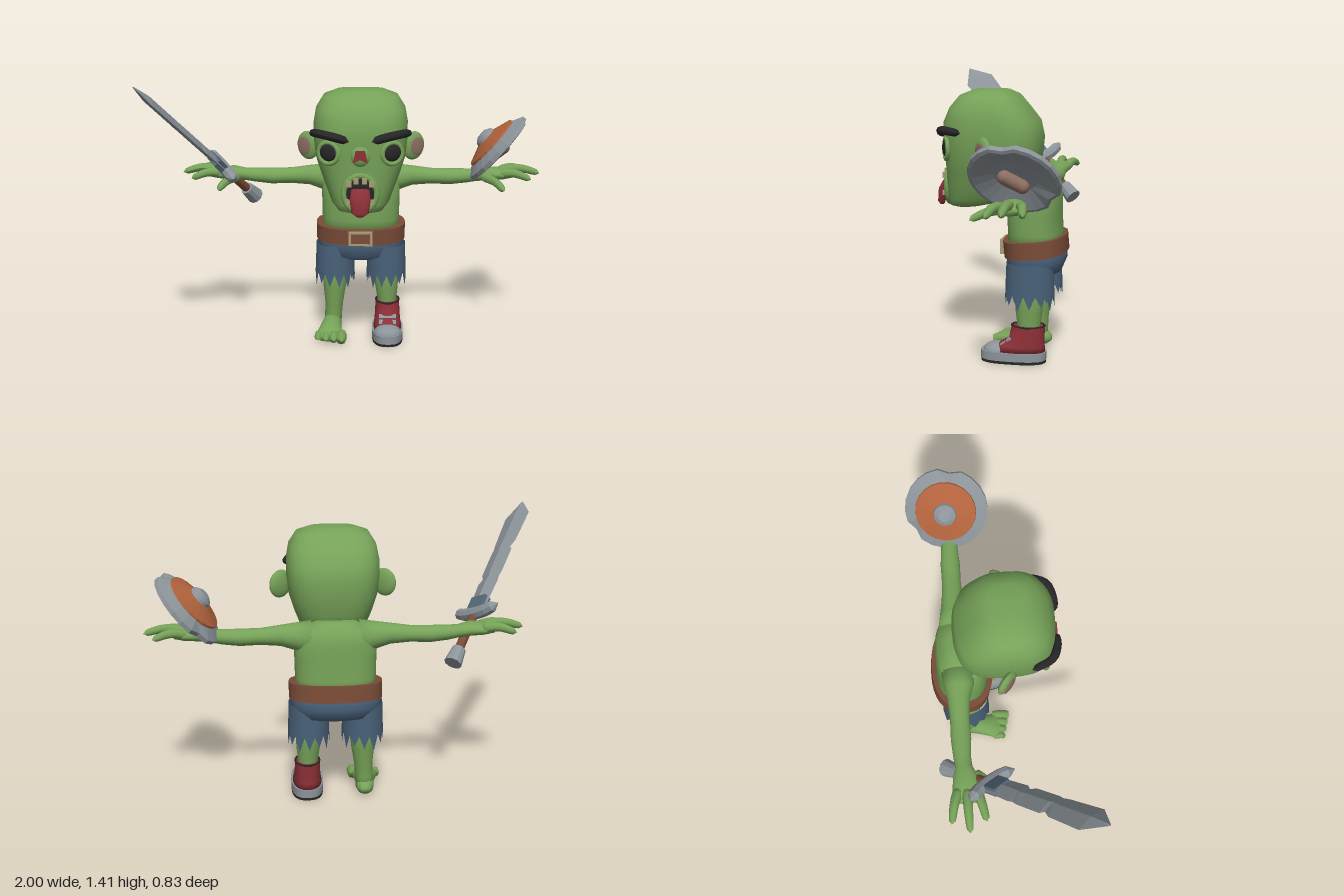
import * as THREE from 'three';

const mat = (name, color, side = THREE.FrontSide) => {
  const m = new THREE.MeshStandardMaterial({ color, side });
  m.name = name;
  return m;
};
const skin = mat('skin green', 0x76a258), denim = mat('denim blue', 0x486078, THREE.DoubleSide);
const leather = mat('leather brown', 0x7a4b37), red = mat('red', 0x8c3036), steel = mat('steel grey', 0x8c949a);
const orange = mat('shield orange', 0xb0623c), black = mat('black', 0x262628), bone = mat('bone tan', 0xa89c76);
const flesh = mat('dull pink', 0x8d6f62), darkSteel = mat('dark steel', 0x56697a);

const V = (x, y, z) => new THREE.Vector3(x, y, z);

function add(parent, name, geo, material, pos) {
  const m = new THREE.Mesh(geo, material);
  m.name = name;
  if (pos) m.position.set(...pos);
  parent.add(m);
  return m;
}

// Closed skin over superellipse rings; row = [t, centreU, centreV, radiusU, radiusV].
// A repeated row makes a sharp edge. (u, t, v) is (x,y,z), (z,x,y) or (y,z,x).
function loft(axis, rows, n = 28, p = 2) {
  const pos = [], idx = [];
  const put = (u, t, v) => pos.push(...(axis === 'y' ? [u, t, v] : axis === 'x' ? [t, v, u] : [v, u, t]));
  const pw = c => Math.sign(c) * Math.pow(Math.abs(c), 2 / p);
  for (const [t, cu, cv, ru, rv] of rows)
    for (let i = 0; i < n; i++) {
      const a = (i / n) * Math.PI * 2;
      put(cu + ru * pw(Math.cos(a)), t, cv + rv * pw(Math.sin(a)));
    }
  for (let j = 0; j < rows.length - 1; j++)
    for (let i = 0; i < n; i++) {
      const a = j * n + i, c = j * n + (i + 1) % n;
      idx.push(a, a + n, c, c, a + n, c + n);
    }
  const last = rows.length - 1, base = rows.length * n;
  for (const r of [rows[0], rows[last]]) put(r[1], r[0], r[2]);
  for (let i = 0; i < n; i++) {
    const k = (i + 1) % n;
    idx.push(base, i, k, base + 1, last * n + k, last * n + i);
  }
  const g = new THREE.BufferGeometry();
  g.setAttribute('position', new THREE.Float32BufferAttribute(pos, 3));
  g.setIndex(idx);
  g.computeVertexNormals();
  return g;
}

// Round-ended tapering tube along a curve
function taper(points, r0, r1, n = 12) {
  const curve = new THREE.CatmullRomCurve3(points.map(p => V(...p)));
  const g = new THREE.TubeGeometry(curve, n, 1, 8), pos = g.attributes.position, q = V();
  for (let i = 0; i <= n; i++) {
    const t = i / n, c = curve.getPointAt(t);
    const r = (r0 + (r1 - r0) * t) * Math.max(0.02, Math.sqrt(1 - Math.pow(2 * t - 1, 8)));
    for (let j = 0; j <= 8; j++) {
      const k = i * 9 + j;
      q.fromBufferAttribute(pos, k).sub(c).multiplyScalar(r).add(c);
      pos.setXYZ(k, q.x, q.y, q.z);
    }
  }
  return g;
}

function mirrored(geo) {
  const g = geo.clone().scale(-1, 1, 1), ix = g.index.array;
  for (let i = 0; i < ix.length; i += 3) [ix[i], ix[i + 1]] = [ix[i + 1], ix[i]];
  g.computeVertexNormals();
  return g;
}
function pair(parent, name, geo, material) {
  add(parent, name + 'Left', geo, material);
  add(parent, name + 'Right', mirrored(geo), material);
}
const ball = (sx, sy, sz) => new THREE.SphereGeometry(1, 20, 14).scale(sx, sy, sz);
const faceted = geo => {
  const g = geo.index ? geo.toNonIndexed() : geo;
  g.computeVertexNormals();
  return g;
};
// Sets a group so its y axis follows up and its x axis leans to side
function orient(group, pos, up, side) {
  const y = up.clone().normalize(), x = side.clone().addScaledVector(y, -side.dot(y)).normalize();
  group.quaternion.setFromRotationMatrix(new THREE.Matrix4().makeBasis(x, y, x.clone().cross(y)));
  group.position.copy(pos);
}

function buildHead() {
  const h = new THREE.Group();
  h.name = 'head';
  add(h, 'skull', loft('y', [
    [0.763, 0, 0.19, 0.06, 0.04], [0.775, 0, 0.175, 0.11, 0.085], [0.81, 0, 0.1, 0.145, 0.17],
    [0.87, 0, 0.06, 0.17, 0.215], [0.95, 0, 0.045, 0.2, 0.23], [1.03, 0, 0.04, 0.225, 0.24],
    [1.12, 0, 0.038, 0.235, 0.247], [1.2, 0, 0.047, 0.235, 0.238], [1.27, 0, 0.06, 0.222, 0.195],
    [1.33, 0, 0.06, 0.185, 0.145], [1.355, 0, 0.055, 0.12, 0.09], [1.36, 0, 0.055, 0.04, 0.03]], 36, 2.9), skin);
  // Ears sweep outwards and back
  pair(h, 'ear', ball(0.07, 0.072, 0.025).rotateY(0.7).translate(0.265, 1.07, 0.04), skin);
  pair(h, 'innerEar', ball(0.044, 0.046, 0.006).translate(0.008, 0, 0.022).rotateY(0.7).translate(0.265, 1.07, 0.04), flesh);
  // Eyes, lids and brows
  pair(h, 'eye', ball(0.046, 0.046, 0.022).rotateY(0.4).translate(0.155, 1.075, 0.25), black);
  pair(h, 'eyelid', new THREE.TorusGeometry(0.052, 0.012, 8, 22).rotateY(0.4).translate(0.155, 1.07, 0.252), skin);
  pair(h, 'brow', taper([[0.055, 1.132, 0.288], [0.12, 1.152, 0.288], [0.195, 1.165, 0.26], [0.243, 1.155, 0.16]], 0.022, 0.02), black);
  // Nose with an open cavity
  add(h, 'nose', ball(0.05, 0.055, 0.028), skin, [0, 1.06, 0.27]);
  const cavity = new THREE.Shape([[-0.036, -0.03], [0, -0.015], [0.036, -0.03], [0.022, 0.03], [-0.022, 0.03]].map(p => new THREE.Vector2(...p)));
  add(h, 'noseCavity', new THREE.ExtrudeGeometry(cavity, { depth: 0.008, bevelEnabled: false }), red, [0, 1.06, 0.293]);
  // Mouth, lips, teeth, tongue
  add(h, 'mouth', ball(0.075, 0.085, 0.01), black, [0, 0.873, 0.274]);
  add(h, 'lips', new THREE.TorusGeometry(0.08, 0.015, 8, 28).scale(1, 1.12, 1), skin, [0, 0.873, 0.27]);
  for (const [x, y, r] of [[-0.055, 0.925, 0], [-0.02, 0.94, 0], [0.02, 0.94, 0], [0.055, 0.925, 0], [-0.058, 0.835, 1], [0.058, 0.835, 1]])
    add(h, 'tooth', new THREE.BoxGeometry(0.024, r ? 0.024 : 0.03, 0.022), bone, [x, y, 0.284]);
  add(h, 'tongue', loft('y', [[0.766, 0, 0.315, 0.015, 0.01], [0.785, 0, 0.317, 0.042, 0.018], [0.85, 0, 0.308, 0.051, 0.022],
    [0.89, 0, 0.288, 0.046, 0.02], [0.9, 0, 0.268, 0.04, 0.02]], 16), red);
  return h;
}

function buildBody() {
  const b = new THREE.Group();
  b.name = 'body';
  add(b, 'torso', loft('y', [[0.57, 0, -0.18, 0.2, 0.14], [0.65, 0, -0.175, 0.203, 0.135], [0.75, 0, -0.17, 0.205, 0.135],
    [0.83, 0, -0.175, 0.205, 0.13], [0.89, 0, -0.18, 0.18, 0.11], [0.93, 0, -0.18, 0.09, 0.06]], 32, 2.5), skin);
  // Arms with splayed fingers
  pair(b, 'arm', loft('x', [[0.12, -0.19, 0.85, 0.09, 0.085], [0.2, -0.195, 0.858, 0.072, 0.068], [0.27, -0.2, 0.866, 0.055, 0.052],
    [0.37, -0.2, 0.863, 0.048, 0.041], [0.47, -0.2, 0.86, 0.05, 0.042], [0.56, -0.2, 0.865, 0.043, 0.037], [0.61, -0.195, 0.87, 0.042, 0.033],
    [0.67, -0.188, 0.88, 0.062, 0.036], [0.74, -0.185, 0.88, 0.072, 0.03], [0.79, -0.185, 0.878, 0.05, 0.02]], 20), skin);
  const fingers = [[[0.72, 0.885, -0.225], [0.8, 0.9, -0.25], [0.89, 0.875, -0.268]], [[0.72, 0.89, -0.185], [0.83, 0.908, -0.185], [0.94, 0.882, -0.182]],
    [[0.72, 0.885, -0.145], [0.8, 0.893, -0.12], [0.885, 0.865, -0.1]], [[0.64, 0.87, -0.15], [0.7, 0.855, -0.07], [0.735, 0.825, 0]]];
  for (const f of fingers) pair(b, 'finger', taper(f, 0.027, 0.017), skin);

  // Belt, higher at the back
  const low = [-0.042, 0, 0, 0.235, 0.16], high = [0.042, 0, 0, 0.235, 0.16];
  add(b, 'belt', loft('y', [low, low, high, high], 32, 2.4).rotateX(0.09), leather, [0, 0.58, -0.178]);
  add(b, 'buckle', new THREE.BoxGeometry(0.125, 0.075, 0.022), bone, [0, 0.566, -0.012]);
  add(b, 'bucklePlate', new THREE.BoxGeometry(0.1, 0.052, 0.024), leather, [0, 0.566, -0.011]);

  // Shorts with torn hems
  add(b, 'shortsSeat', loft('y', [[0.43, 0, -0.17, 0.1, 0.09], [0.45, 0, -0.178, 0.2, 0.13], [0.51, 0, -0.183, 0.225, 0.15], [0.58, 0, -0.18, 0.218, 0.143]], 32, 2.4), denim);
  const hem = new THREE.CylinderGeometry(0.1, 0.106, 0.18, 26, 3, true), hp = hem.attributes.position;
  for (let i = 0; i < hp.count; i++) {
    const k = i % 27;
    if (hp.getY(i) < -0.08) hp.setY(i, -0.09 + (k % 2 ? -0.03 - 0.012 * (k % 3) : 0.025));
  }
  hem.scale(1, 1, 1.18).translate(0.137, 0.42, -0.168);
  hem.computeVertexNormals();
  pair(b, 'shortsLeg', hem, denim);

  // Legs and the bare foot
  pair(b, 'leg', loft('y', [[0.03, 0.15, -0.165, 0.045, 0.05], [0.1, 0.147, -0.165, 0.046, 0.052], [0.17, 0.143, -0.165, 0.048, 0.056],
    [0.26, 0.14, -0.165, 0.06, 0.068], [0.43, 0.135, -0.17, 0.075, 0.085]], 20), skin);
  add(b, 'bareFoot', loft('z', [[-0.235, 0.04, -0.15, 0.015, 0.02], [-0.21, 0.045, -0.15, 0.038, 0.042], [-0.14, 0.06, -0.153, 0.056, 0.048],
    [-0.06, 0.047, -0.16, 0.042, 0.06], [0, 0.035, -0.163, 0.031, 0.076], [0.03, 0.03, -0.163, 0.018, 0.065]], 20), skin);
  for (let i = 0; i < 4; i++) {
    const x = -0.1 - i * 0.041, r = 0.027 - i * 0.003;
    add(b, 'toe', taper([[x, 0.036, -0.03], [x, 0.04, 0.02], [x, r, 0.072 - i * 0.014]], r, r), skin);
  }
  // High-top shoe
  const shoe = new THREE.Group();
  shoe.name = 'shoe';
  shoe.position.x = 0.145;
  b.add(shoe);
  const slab = (y0, y1, s) => { const r = y => [y, 0, -0.088, 0.083 * s, 0.167 * s]; return loft('y', [r(y0), r(y0), r(y1), r(y1)], 28, 2.6); };
  add(shoe, 'outsole', slab(0, 0.014, 0.99), black);
  add(shoe, 'sole', slab(0.014, 0.056, 1), steel);
  add(shoe, 'upper', loft('y', [[0.05, 0, -0.105, 0.076, 0.145], [0.085, 0, -0.125, 0.07, 0.122], [0.12, 0, -0.155, 0.066, 0.09],
    [0.185, 0, -0.163, 0.064, 0.085], [0.185, 0, -0.163, 0.064, 0.085], [0.187, 0, -0.163, 0.05, 0.07]], 24, 2.3), red);
  add(shoe, 'collar', new THREE.TorusGeometry(0.062, 0.005, 6, 24).rotateX(Math.PI / 2).scale(1, 1, 1.33), black, [0, 0.187, -0.163]);
  add(shoe, 'toeCap', ball(0.073, 0.042, 0.07), steel, [0, 0.052, -0.003]);
  for (let i = 0; i < 2; i++)
    add(shoe, 'lace', new THREE.BoxGeometry(0.09, 0.014, 0.028), steel, [0, 0.094 + i * 0.022, -0.04 - i * 0.03]).rotation.x = 0.6;
  return b;
}

function buildSword() {
  const s = new THREE.Group();
  s.name = 'sword';
  orient(s, V(-0.66, 0.93, -0.08), V(-0.444, 0.627, 0.64), V(0.588, -0.415, 0.692));
  // Chipped blade with a diamond section
  add(s, 'blade', faceted(loft('y', [[0.02, 0, 0, 0.06, 0.018], [0.2, 0, 0, 0.07, 0.018], [0.23, -0.006, 0, 0.058, 0.018], [0.26, 0, 0, 0.071, 0.018],
    [0.41, 0, 0, 0.072, 0.018], [0.43, 0.007, 0, 0.06, 0.018], [0.47, 0, 0, 0.074, 0.018], [0.665, 0, 0, 0.085, 0.018], [0.768, 0.005, 0, 0.004, 0.003]], 4)), steel);
  add(s, 'bladeCollar', new THREE.BoxGeometry(0.1, 0.09, 0.042), darkSteel, [0, 0.05, 0]);
  add(s, 'guard', faceted(taper([[-0.15, 0.03, 0], [-0.07, 0, 0], [0.07, 0, 0], [0.15, 0.03, 0]], 0.032, 0.032, 8)), steel);
  add(s, 'grip', new THREE.CylinderGeometry(0.023, 0.023, 0.26, 10), leather, [0, -0.13, 0]);
  add(s, 'pommel', faceted(new THREE.CylinderGeometry(0.034, 0.045, 0.09, 10)), steel, [0, -0.275, 0]);
  return s;
}

function buildShield() {
  const s = new THREE.Group();
  s.name = 'shield';
  orient(s, V(0.775, 1.01, -0.2), V(-0.75, 0.65, -0.1), V(0.65, 0.76, 0));
  const disc = pts => new THREE.LatheGeometry(pts.map(p => new THREE.Vector2(...p)), 22);
  const rim = disc([[0, 0.03], [0.1, 0.018], [0.195, -0.015], [0.212, -0.01], [0.213, 0.012], [0.15, 0.045], [0, 0.05]]);
  // Nicks in the rim
  const p = rim.attributes.position;
  for (let i = 0; i < p.count; i++) {
    const seg = Math.floor(i / 7);
    if ((seg === 5 || seg === 13) && Math.hypot(p.getX(i), p.getZ(i)) > 0.19) p.setXYZ(i, p.getX(i) * 0.9, p.getY(i), p.getZ(i) * 0.9);
  }
  add(s, 'shieldRim', faceted(rim), steel);
  add(s, 'shieldFace', faceted(disc([[0.158, 0.03], [0.155, 0.052], [0.06, 0.085], [0, 0.085]])), orange);
  add(s, 'boss', faceted(disc([[0.062, 0.075], [0.055, 0.1], [0.03, 0.117], [0, 0.12]])), steel);
  add(s, 'shieldHandle', new THREE.CapsuleGeometry(0.032, 0.09, 6, 12).rotateX(Math.PI / 2).rotateY(0.6), flesh, [0, -0.015, 0]);
  return s;
}

export function createModel() {
  const model = new THREE.Group();
  model.name = 'goblinFighter';
  const figure = new THREE.Group();
  figure.name = 'figure';
  figure.position.x = 0.055;
  figure.add(buildHead(), buildBody());
  model.add(figure, buildSword(), buildShield());
  return model;
}
